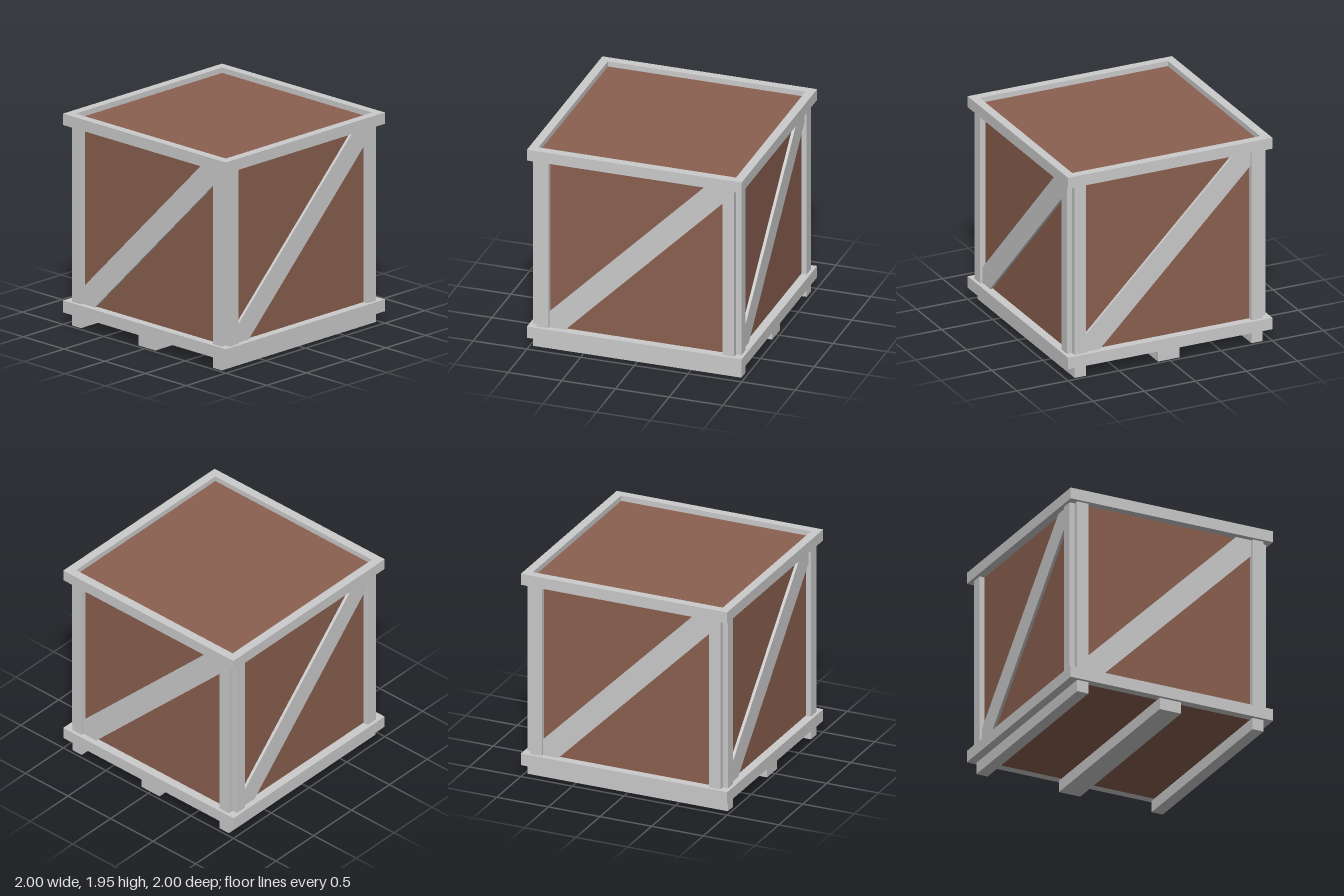
import * as THREE from 'three';

const grey = new THREE.MeshStandardMaterial({ color: 0xcccccc, flatShading: true });
const brown = new THREE.MeshStandardMaterial({ color: 0x8b6050, flatShading: true });

const HALF = 0.92;    // half width of the panelled body
const POST_IN = 0.81; // inner edge of the corner boards
const BASE = 0.11;    // underside of the bottom frame
const LOW = 0.22;     // top of the bottom frame
const HIGH = 1.84;    // underside of the top frame

// Box given by its minimum and maximum corners
function box(name, min, max, material = grey) {
  const size = max.map((v, i) => v - min[i]);
  const mesh = new THREE.Mesh(new THREE.BoxGeometry(...size), material);
  mesh.position.set(...max.map((v, i) => (v + min[i]) / 2));
  mesh.name = name;
  return mesh;
}

// Square ring lying flat between two heights
function frame(name, y0, y1) {
  const square = h => [[-h, -h], [h, -h], [h, h], [-h, h]].map(p => new THREE.Vector2(...p));
  const shape = new THREE.Shape(square(1));
  shape.holes.push(new THREE.Path(square(HALF).reverse()));
  const geometry = new THREE.ExtrudeGeometry(shape, { depth: y1 - y0, bevelEnabled: false });
  geometry.rotateX(-Math.PI / 2);
  const mesh = new THREE.Mesh(geometry, grey);
  mesh.position.y = y0;
  mesh.name = name;
  return mesh;
}

// One side: two upright boards and a thinner diagonal brace trimmed to the frame
function side(name) {
  const group = new THREE.Group();
  group.name = name;
  for (const s of [-1, 1]) {
    const xs = [s * POST_IN, s * HALF].sort((a, b) => a - b);
    group.add(box('uprightBoard', [xs[0], LOW, HALF], [xs[1], HIGH, 0.97]));
  }
  const cut = 0.15;
  const shape = new THREE.Shape([
    [-POST_IN, LOW], [-POST_IN + cut, LOW], [POST_IN, HIGH - cut],
    [POST_IN, HIGH], [POST_IN - cut, HIGH], [-POST_IN, LOW + cut],
  ].map(p => new THREE.Vector2(...p)));
  const brace = new THREE.Mesh(
    new THREE.ExtrudeGeometry(shape, { depth: 0.027, bevelEnabled: false }), grey);
  brace.position.z = HALF;
  brace.name = 'diagonalBrace';
  group.add(brace);
  return group;
}

export function createModel() {
  const crate = new THREE.Group();
  crate.name = 'crate';

  // Panelled body, flush with the bottom frame and recessed in the top one
  crate.add(box('panels', [-HALF, BASE, -HALF], [HALF, 1.895, HALF], brown));
  crate.add(frame('bottomFrame', BASE, LOW), frame('topFrame', HIGH, 1.945));

  // The same side turned around the four faces
  ['frontSide', 'leftSide', 'backSide', 'rightSide'].forEach((name, i) => {
    const s = side(name);
    s.rotation.y = i * Math.PI / 2;
    crate.add(s);
  });

  // Skids underneath
  for (const [z0, z1] of [[-0.92, -0.81], [-0.105, 0.105], [0.81, 0.92]]) {
    crate.add(box('skid', [-0.97, 0, z0], [0.97, BASE, z1]));
  }
  return crate;
}
